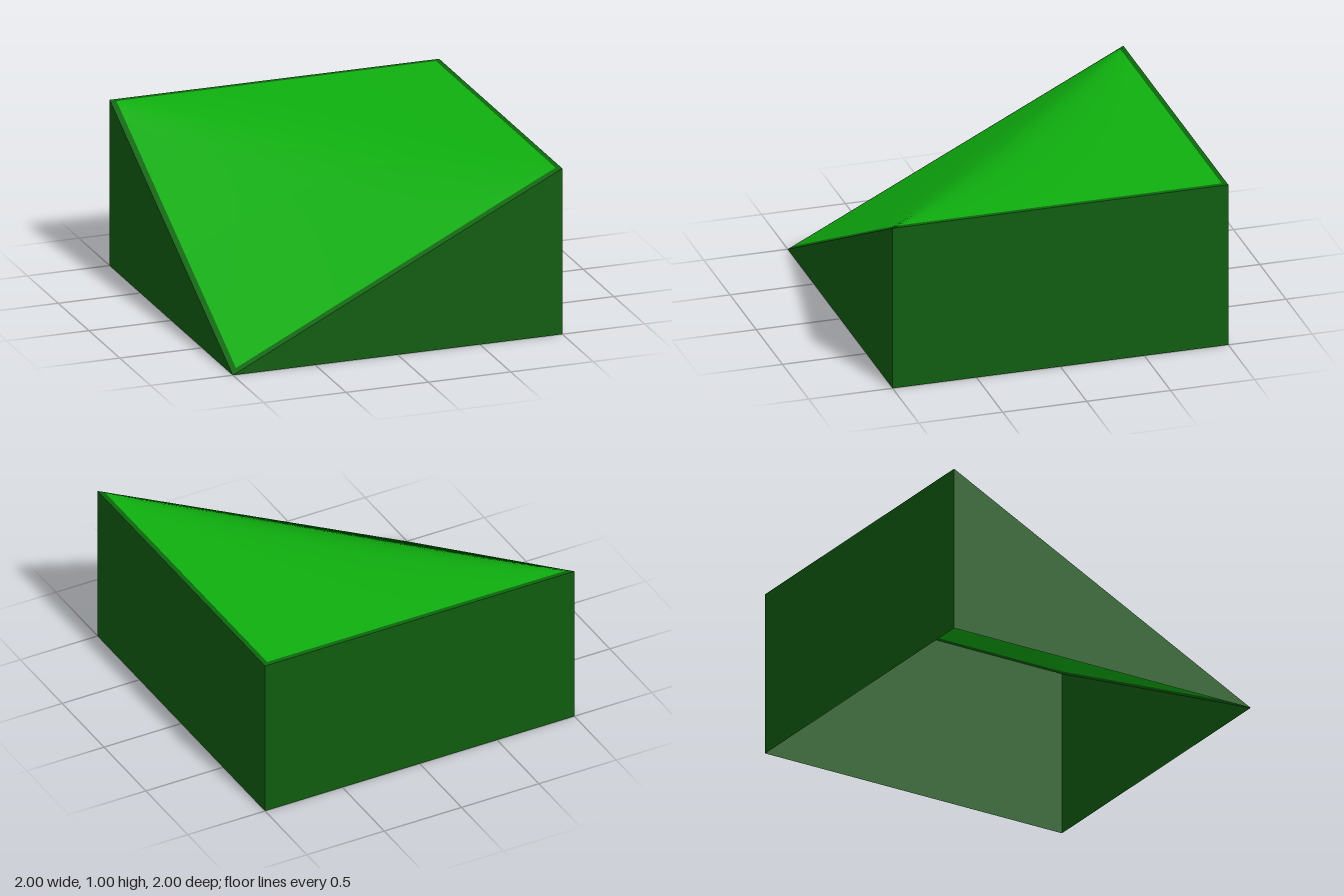
import * as THREE from 'three';

const RIM = 0.03;

// Flat at y = 1, folding softly along the diagonal and falling to y = 0 at one corner
function height(x, z) {
  const s = (z - x) / 2;
  const w = 0.13 * Math.max(0, (1 - x * x) * (1 - z * z)) ** 0.5;
  return 1 - 0.5 * (s + Math.sqrt(s * s + w * w));
}

// Rectangular piece of the sloped surface
function patch(x0, x1, z0, z1, nx, nz) {
  const g = new THREE.PlaneGeometry(x1 - x0, z1 - z0, nx, nz);
  g.rotateX(-Math.PI / 2);
  g.translate((x0 + x1) / 2, 0, (z0 + z1) / 2);
  const p = g.attributes.position;
  for (let i = 0; i < p.count; i++) p.setY(i, height(p.getX(i), p.getZ(i)));
  g.computeVertexNormals();
  return g;
}

// Flat polygon, corners counter-clockwise seen from outside
function polygon(points) {
  const g = new THREE.BufferGeometry();
  g.setAttribute('position', new THREE.Float32BufferAttribute(points.flat(), 3));
  const index = [];
  for (let i = 1; i < points.length - 1; i++) index.push(0, i, i + 1);
  g.setIndex(index);
  g.computeVertexNormals();
  return g;
}

export function createModel() {
  const group = new THREE.Group();
  const green = (color) => new THREE.MeshStandardMaterial({ color, side: THREE.DoubleSide });
  const grass = green(0x0fb00f);
  const rim = green(0x0c680c);
  const side = green(0x0f5c0f);
  const add = (name, geometry, material) => {
    const mesh = new THREE.Mesh(geometry, material);
    mesh.name = name;
    group.add(mesh);
  };

  // Sloped top and its dark border
  const e = 1 - RIM;
  add('slopedTop', patch(-e, e, -e, e, 62, 62), grass);
  add('frontRim', patch(-1, 1, e, 1, 64, 1), rim);
  add('backRim', patch(-1, 1, -1, -e, 64, 1), rim);
  add('rightRim', patch(-1, -e, -e, e, 1, 62), rim);
  add('leftRim', patch(e, 1, -e, e, 1, 62), rim);

  // Upright sides; the underside stays open
  add('frontWall', polygon([[-1, 0, 1], [1, 0, 1], [1, 1, 1]]), side);
  add('rightWall', polygon([[-1, 0, -1], [-1, 0, 1], [-1, 1, -1]]), side);
  add('leftWall', polygon([[1, 0, 1], [1, 0, -1], [1, 1, -1], [1, 1, 1]]), side);
  add('backWall', polygon([[1, 0, -1], [-1, 0, -1], [-1, 1, -1], [1, 1, -1]]), side);

  return group;
}
